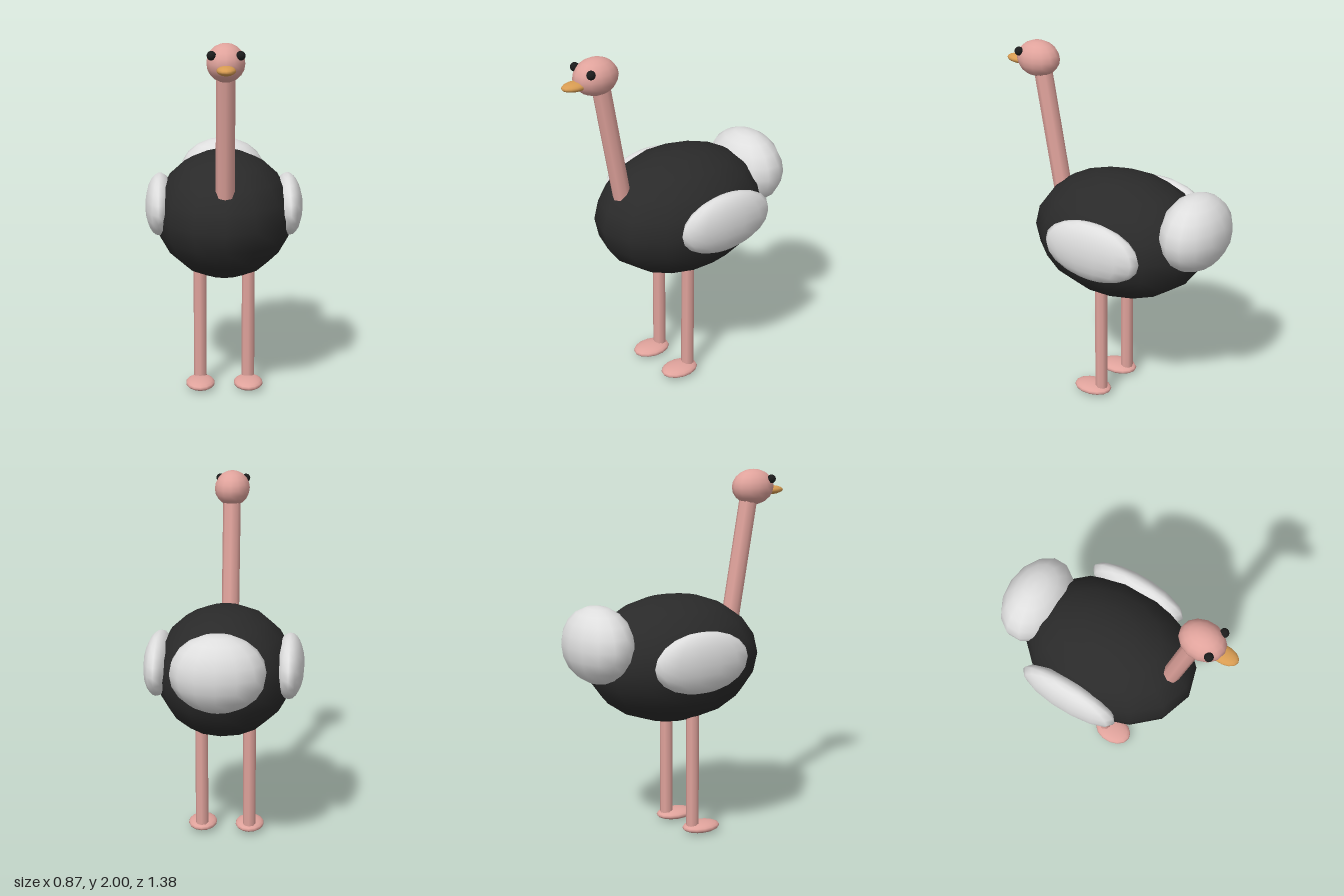
import * as THREE from 'three';

const mat = (name, color) => {
  const m = new THREE.MeshStandardMaterial({ color });
  m.name = name;
  return m;
};

export function createModel() {
  const group = new THREE.Group();
  const skin = mat('pinkSkin', 0xe0a39c);
  const black = mat('blackFeathers', 0x2a2a2a);
  const white = mat('whiteFeathers', 0xdedede);
  const horn = mat('beakOrange', 0xd89c52);
  const eyeBlack = mat('eyeBlack', 0x1c1c1c);

  // Low-poly ellipsoid with a column of vertices facing front and back
  const ball = new THREE.SphereGeometry(1, 14, 10).rotateY(Math.PI / 2);
  const ellipsoid = (name, material, position, radii) => {
    const mesh = new THREE.Mesh(ball, material);
    mesh.name = name;
    mesh.position.set(...position);
    mesh.scale.set(...radii);
    group.add(mesh);
  };

  // Eight-sided rod between two points
  const rod = (name, material, from, to, radius) => {
    const a = new THREE.Vector3(...from);
    const b = new THREE.Vector3(...to);
    const mesh = new THREE.Mesh(new THREE.CylinderGeometry(radius, radius, a.distanceTo(b), 8), material);
    mesh.name = name;
    mesh.position.copy(a).lerp(b, 0.5);
    mesh.quaternion.setFromUnitVectors(new THREE.Vector3(0, 1, 0), b.sub(a).normalize());
    group.add(mesh);
  };

  // Body, tail, neck and head
  ellipsoid('body', black, [0, 0.995, -0.045], [0.38, 0.35, 0.51]);
  ellipsoid('tail', white, [0, 1.12, -0.515], [0.255, 0.21, 0.178]);
  rod('neck', skin, [0, 1.14, 0.336], [0, 1.88, 0.468], 0.05);
  ellipsoid('head', skin, [0, 1.901, 0.49], [0.1, 0.099, 0.125]);
  ellipsoid('beak', horn, [0, 1.877, 0.612], [0.049, 0.025, 0.08]);

  // Paired parts
  for (const [side, s] of [['left', 1], ['right', -1]]) {
    ellipsoid(side + 'Eye', eyeBlack, [s * 0.073, 1.946, 0.565], [0.024, 0.024, 0.024]);
    ellipsoid(side + 'Wing', white, [s * 0.357, 1.037, -0.086], [0.081, 0.167, 0.295]);
    rod(side + 'Leg', skin, [s * 0.135, 0.035, 0], [s * 0.135, 0.78, 0], 0.036);
    ellipsoid(side + 'Foot', skin, [s * 0.135, 0.033, 0.058], [0.082, 0.03, 0.113]);
  }
  return group;
}
